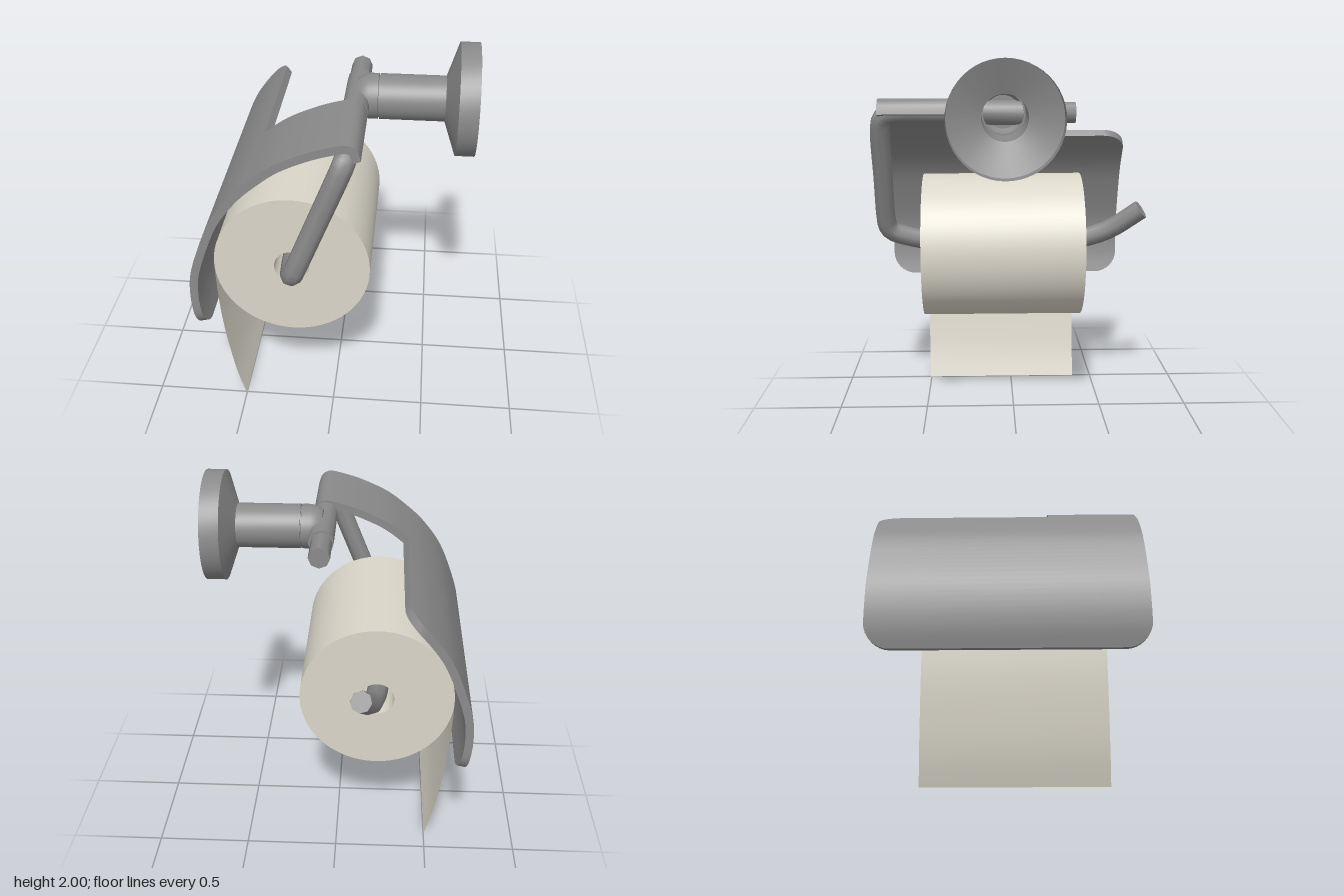
import * as THREE from 'three';
import { toCreasedNormals } from 'three/addons/utils/BufferGeometryUtils.js';

const metal = new THREE.MeshStandardMaterial({ color: 0x8a8a8a, side: THREE.DoubleSide });
metal.name = 'grey metal';
const paper = new THREE.MeshStandardMaterial({ color: 0xdad6c9, side: THREE.DoubleSide });
paper.name = 'cream paper';

const v2 = (p) => new THREE.Vector2(p[0], p[1]);

function part(name, geometry, material) {
  const mesh = new THREE.Mesh(geometry, material);
  mesh.name = name;
  return mesh;
}

// Lathe from [radius, height] points, with sharp edges kept
function turned(points, segments, crease = 0.4) {
  return toCreasedNormals(new THREE.LatheGeometry(points.map(v2), segments), crease);
}

// Curved cover: rectangular sections swept along a profile, with rounded corners and a notch
function coverGeometry() {
  const profile = new THREE.SplineCurve([
    [-0.672, 0.642], [-0.695, 0.75], [-0.705, 0.87], [-0.695, 1.0], [-0.65, 1.15],
    [-0.575, 1.33], [-0.47, 1.475], [-0.37, 1.57], [-0.25, 1.66], [-0.1, 1.73],
    [0.02, 1.768], [0.09, 1.78], [0.135, 1.757], [0.155, 1.7],
  ].map(v2));
  const length = profile.getLength(), thickness = 0.042, r = 0.13;
  let notch = 0;
  while (profile.getPointAt(notch).y < 1.57) notch += 0.002;
  const cut = notch * length;
  const inset = (d) => (d >= r ? 0 : r - Math.sqrt(r * r - (r - d) ** 2));

  const positions = [], index = [];
  const section = (s, back, front) => {
    const u = Math.min(s / length, 1);
    const p = profile.getPointAt(u), t = profile.getTangentAt(u);
    const x = p.x + t.y * thickness, y = p.y - t.x * thickness;
    positions.push(p.x, p.y, back, p.x, p.y, front, x, y, front, x, y, back);
  };
  const wide = (s) => section(s, -0.67 + inset(s) + inset(cut - s), 0.73 - inset(s));
  const steps = 8;
  for (let i = 0; i < steps; i++) wide(r * (1 - Math.cos((i / steps) * Math.PI / 2)));
  for (let i = 0; i <= 24; i++) wide(r + (cut - 2 * r) * i / 24);
  for (let i = 1; i <= steps; i++) wide(cut - r + r * Math.sin((i / steps) * Math.PI / 2));
  for (let i = 0; i <= 24; i++) section(cut + (length - cut) * i / 24, 0.25, 0.73);

  const last = positions.length / 3 - 4;
  for (let i = 0; i < last; i += 4) {
    for (let j = 0; j < 4; j++) {
      const a = i + j, b = i + (j + 1) % 4;
      index.push(a, b, b + 4, a, b + 4, a + 4);
    }
  }
  index.push(0, 2, 1, 0, 3, 2, last, last + 1, last + 2, last, last + 2, last + 3);
  const g = new THREE.BufferGeometry();
  g.setAttribute('position', new THREE.Float32BufferAttribute(positions, 3));
  g.setIndex(index);
  return toCreasedNormals(g, 0.6);
}

// Bent rod lying in one tilted plane, given as [z, y] points
function holderRod() {
  const group = new THREE.Group();
  group.name = 'holderRod';
  const radius = 0.056;
  const curve = new THREE.CatmullRomCurve3([
    [-0.33, 1.705], [0, 1.705], [0.4, 1.705], [0.62, 1.705], [0.685, 1.693], [0.715, 1.663], [0.725, 1.6],
    [0.725, 1.35], [0.725, 1.1], [0.717, 1.04], [0.69, 1.005], [0.64, 0.985], [0.5, 0.95],
    [0.25, 0.918], [0, 0.91], [-0.25, 0.925], [-0.39, 0.95], [-0.56, 1.01], [-0.738, 1.135],
  ].map(([z, y]) => new THREE.Vector3(-0.225 + (y - 0.915) * 0.395, y, z)));
  group.add(part('rod', new THREE.TubeGeometry(curve, 110, radius, 8), metal));
  for (const end of [0, 1]) {
    const cap = part('rodEnd', new THREE.CircleGeometry(radius, 8), metal);
    const p = curve.getPointAt(end);
    cap.position.copy(p);
    cap.lookAt(p.clone().addScaledVector(curve.getTangentAt(end), end ? 1 : -1));
    group.add(cap);
  }
  return group;
}

// Wall mount, turned around the x axis
function wallMount() {
  const group = new THREE.Group();
  group.name = 'wallMount';
  group.add(part('flangeAndNeck', turned([
    [0.108, 0.205], [0.117, 0.205], [0.117, 0.54], [0.29, 0.6], [0.29, 0.7],
  ], 48, 0.3), metal));
  group.add(part('hub', turned([
    [0, 0.09], [0.09, 0.09], [0.108, 0.115], [0.117, 0.15], [0.117, 0.198], [0.108, 0.2],
  ], 40), metal));
  group.add(part('hubJoint', turned([[0.108, 0.19], [0.108, 0.22]], 40), metal));
  group.rotation.z = -Math.PI / 2;
  group.position.set(0, 1.71, 0.06);
  return group;
}

// Sheet hanging from the roll
function sheetGeometry() {
  const curve = new THREE.SplineCurve([
    [-0.5, 0.005], [-0.55, 0.19], [-0.6, 0.5], [-0.62, 0.75], [-0.625, 0.93],
  ].map(v2));
  const g = new THREE.PlaneGeometry(0.9, 1, 1, 16);
  const pos = g.attributes.position;
  for (let i = 0; i < pos.count; i++) {
    const p = curve.getPointAt(THREE.MathUtils.clamp(pos.getY(i) + 0.5, 0, 1));
    pos.setXYZ(i, p.x, p.y, pos.getX(i) + 0.06);
  }
  g.computeVertexNormals();
  return g;
}

export function createModel() {
  const model = new THREE.Group();
  model.name = 'toiletRollHolder';

  // Paper roll with open core
  const roll = part('paperRoll', turned([
    [0.092, -0.45], [0.41, -0.45], [0.41, 0.45], [0.092, 0.45], [0.092, -0.45],
  ], 64), paper);
  roll.rotation.x = Math.PI / 2;
  roll.position.set(-0.215, 0.925, 0.06);

  // Sleeve through the hub
  const sleeve = part('sleeve', toCreasedNormals(new THREE.CylinderGeometry(0.067, 0.067, 0.39, 12), 0.6), metal);
  sleeve.rotation.x = Math.PI / 2;
  sleeve.position.set(0.09, 1.705, 0.055);

  model.add(
    roll,
    part('hangingSheet', sheetGeometry(), paper),
    part('cover', coverGeometry(), metal),
    holderRod(),
    sleeve,
    wallMount(),
  );
  return model;
}
